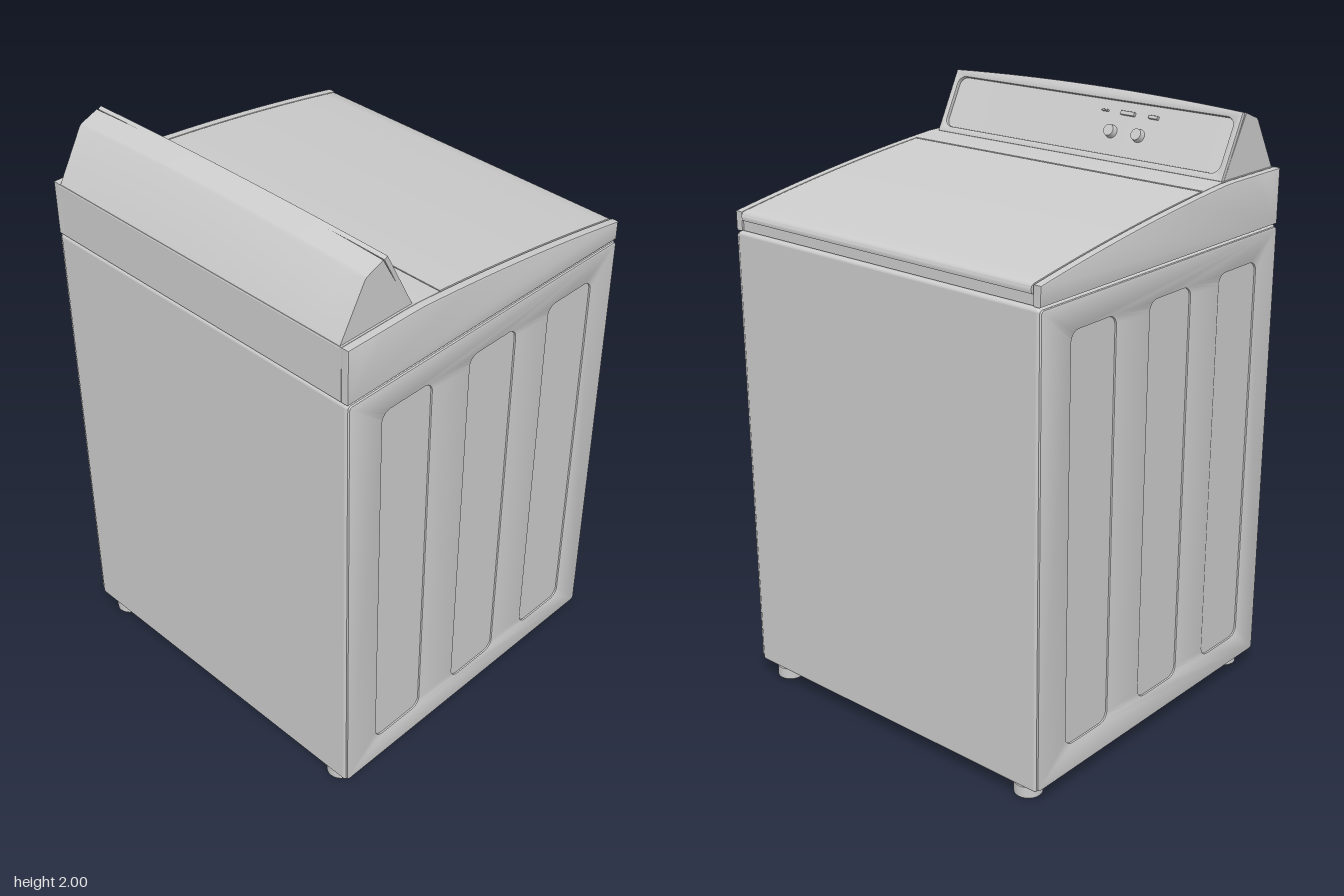
import * as THREE from 'three';
import { toCreasedNormals } from 'three/addons/utils/BufferGeometryUtils.js';
import { RoundedBoxGeometry } from 'three/addons/geometries/RoundedBoxGeometry.js';

const material = new THREE.MeshStandardMaterial({ color: 0xcccccc });

function add(parent, name, geometry, x = 0, y = 0, z = 0) {
  const mesh = new THREE.Mesh(geometry, material);
  mesh.name = name;
  mesh.position.set(x, y, z);
  parent.add(mesh);
  return mesh;
}

// Sweeps a [z, y] outline along x, centred on x = 0
function sweepX(points, width, steps = 1, bevel = 0) {
  const shape = new THREE.Shape(points.map(([z, y]) => new THREE.Vector2(-z, y)));
  const depth = width - 2 * bevel;
  const g = new THREE.ExtrudeGeometry(shape, {
    depth, steps, bevelEnabled: bevel > 0, bevelSize: bevel,
    bevelThickness: bevel, bevelOffset: -bevel, bevelSegments: 2,
  });
  g.translate(0, 0, -depth / 2);
  g.rotateY(Math.PI / 2);
  return g;
}

function roundedRect(path, x0, y0, x1, y1, r) {
  path.moveTo(x0 + r, y0);
  path.lineTo(x1 - r, y0);
  path.absarc(x1 - r, y0 + r, r, -Math.PI / 2, 0);
  path.lineTo(x1, y1 - r);
  path.absarc(x1 - r, y1 - r, r, 0, Math.PI / 2);
  path.lineTo(x0 + r, y1);
  path.absarc(x0 + r, y1 - r, r, Math.PI / 2, Math.PI);
  path.lineTo(x0, y0 + r);
  path.absarc(x0 + r, y0 + r, r, Math.PI, Math.PI * 1.5);
  return path;
}

// Height of the sloping top at depth z
function topY(z) {
  const t = Math.max(0, (0.31 - z) / 0.905);
  return 1.785 - 0.12 * (0.6 * t + 0.4 * t * t);
}

// Points along the sloping top from z0 to z1, lowered by drop
function topCurve(z0, z1, drop = 0, n = 16) {
  return Array.from({ length: n + 1 }, (_, i) => {
    const z = z0 + ((z1 - z0) * i) / n;
    return [z, topY(z) - drop];
  });
}

function buildCabinet(group) {
  add(group, 'cabinet', new RoundedBoxGeometry(1.248, 1.547, 1.19, 3, 0.012), 0, 0.8265, 0);
  // Side skins with three shallow pressed recesses each
  const skin = roundedRect(new THREE.Shape(), -0.588, 0.06, 0.588, 1.593, 0.01);
  for (const [z0, z1] of [[0.25, 0.46], [-0.12, 0.09], [-0.48, -0.27]]) {
    skin.holes.push(roundedRect(new THREE.Path(), -z1, 0.155, -z0, 1.505, 0.035));
  }
  for (const side of [-1, 1]) {
    const g = new THREE.ExtrudeGeometry(skin, {
      depth: 0.002, bevelThickness: 0.004, bevelSize: 0.004, bevelOffset: -0.002,
      bevelSegments: 2, curveSegments: 6,
    });
    // Mirrored by turning the panel, with the outline flipped to keep the spacing
    if (side < 0) g.scale(-1, 1, -1);
    g.rotateY(Math.PI / 2);
    add(group, side > 0 ? 'leftSidePanel' : 'rightSidePanel', toCreasedNormals(g, 0.6), side * 0.624, 0, 0);
  }
}

function buildTop(group) {
  // Lower housing under the lid
  const housing = [[-0.585, 1.603], [0.594, 1.603], ...topCurve(0.594, 0.205, 0, 8), ...topCurve(0.204, -0.585, 0.016)];
  add(group, 'topHousing', toCreasedNormals(sweepX(housing, 1.204), 0.5));

  // Raised side rails
  const rail = [[-0.592, 1.603], [0.594, 1.603], ...topCurve(0.594, -0.592, 0, 24)];
  for (const side of [-1, 1]) {
    add(group, side > 0 ? 'leftRail' : 'rightRail', toCreasedNormals(sweepX(rail, 0.028, 1, 0.005), 0.6), side * 0.614);
  }

  // Lid with a rounded front edge
  const lid = [...topCurve(0.2, -0.585, 0.001), [-0.593, 1.66], [-0.596, 1.652],
    [-0.593, 1.638], [-0.584, 1.636], ...topCurve(-0.575, 0.2, 0.018)].reverse();
  add(group, 'lid', toCreasedNormals(sweepX(lid, 1.193), 0.6));
}

function buildConsole(group) {
  const consoleGroup = new THREE.Group();
  consoleGroup.name = 'controlConsole';
  group.add(consoleGroup);

  // Wedge body whose ridge bows up in the middle
  const g = sweepX([[0.595, 1.78], [0.5, 1.96], [0.492, 1.968], [0.431, 1.994], [0.3207, 1.7795]].reverse(), 1.19, 16);
  const p = g.attributes.position;
  for (let i = 0; i < p.count; i++) {
    const lift = (p.getY(i) - 1.78) / 0.22;
    p.setY(i, p.getY(i) - 0.015 * lift * (p.getX(i) / 0.595) ** 2);
  }
  add(consoleGroup, 'consoleBody', toCreasedNormals(g, 0.35));

  // Sloping control face: local y runs up the slope, local z points outward
  const face = new THREE.Group();
  face.name = 'controlFace';
  const up = new THREE.Vector3(0, 0.215, 0.11).normalize();
  const out = new THREE.Vector3(0, up.z, -up.y);
  face.quaternion.setFromRotationMatrix(new THREE.Matrix4().makeBasis(new THREE.Vector3(-1, 0, 0), up, out));
  face.position.set(0, 1.785, 0.31).addScaledVector(out, -0.012);
  consoleGroup.add(face);

  const bezel = new THREE.Shape();
  bezel.moveTo(-0.595, 0);
  bezel.lineTo(0.595, 0);
  bezel.lineTo(0.595, 0.225);
  bezel.quadraticCurveTo(0, 0.257, -0.595, 0.225);
  bezel.holes.push(roundedRect(new THREE.Path(), -0.573, 0.022, 0.573, 0.203, 0.03));
  add(face, 'bezel', toCreasedNormals(new THREE.ExtrudeGeometry(bezel, {
    depth: 0.008, bevelThickness: 0.004, bevelSize: 0.004, bevelOffset: -0.004, bevelSegments: 2, curveSegments: 16,
  }), 0.6));

  // Dials and indicator buttons
  for (const x of [0.235, 0.125]) {
    const knob = new THREE.CylinderGeometry(0.019, 0.022, 0.02, 24);
    knob.rotateX(Math.PI / 2);
    add(face, 'knob', knob, x, 0.1, 0.01);
  }
  for (const [x, w, h] of [[0.272, 0.036, 0.012], [0.17, 0.056, 0.014], [0.078, 0.026, 0.006]]) {
    add(face, 'button', new RoundedBoxGeometry(w, h, 0.012, 2, 0.0025), x, 0.166, 0.003);
  }
}

function buildFeet(group) {
  const profile = [[0, 0], [0.042, 0], [0.046, 0.004], [0.046, 0.042], [0.043, 0.045], [0.043, 0.065]]
    .map(([r, y]) => new THREE.Vector2(r, y));
  const geometry = toCreasedNormals(new THREE.LatheGeometry(profile, 24), 0.6);
  for (const x of [-0.545, 0.545]) {
    for (const z of [-0.535, 0.535]) add(group, 'foot', geometry, x, 0, z);
  }
}

export function createModel() {
  const group = new THREE.Group();
  group.name = 'washingMachine';
  buildCabinet(group);
  buildTop(group);
  buildConsole(group);
  buildFeet(group);
  return group;
}
